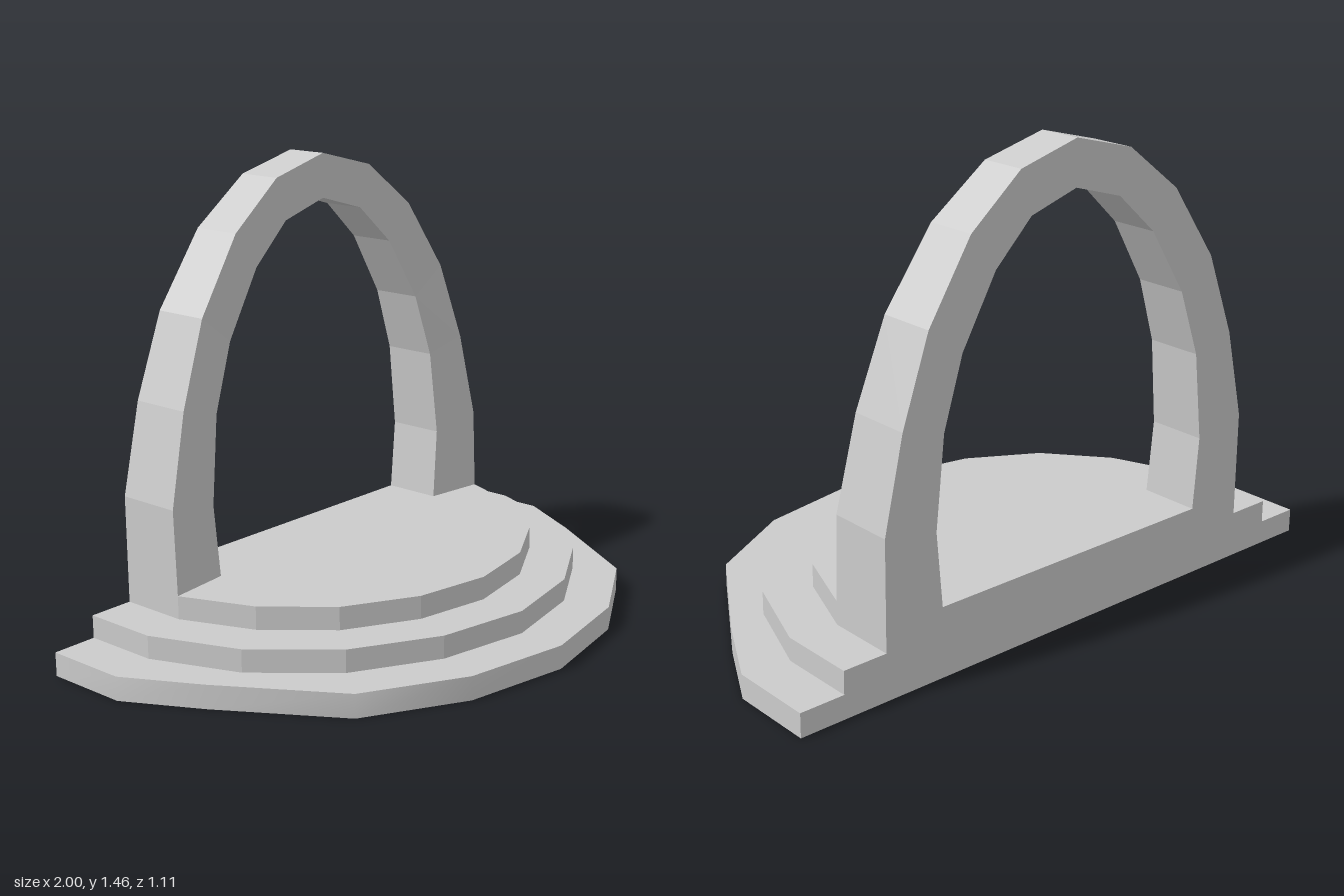
import * as THREE from 'three';
import { toCreasedNormals } from 'three/addons/utils/BufferGeometryUtils.js';

const BACK = -0.555;
const flat = new THREE.MeshStandardMaterial({ color: 0xcccccc, flatShading: true, side: THREE.DoubleSide });
const smooth = new THREE.MeshStandardMaterial({ color: 0xcccccc, side: THREE.DoubleSide });

// Half outlines of the steps as [x, z], from the front centre to the back corner
const steps = [
  { name: 'lowerStep', bottom: 0, top: 0.075, half: [[0, 0.555], [0.345, 0.49], [0.65, 0.315], [0.875, -0.05], [1, -0.285], [1, BACK]] },
  { name: 'middleStep', bottom: 0.075, top: 0.147, half: [[0, 0.408], [0.3, 0.35], [0.56, 0.2], [0.75, -0.03], [0.855, -0.31], [0.855, BACK]] },
  { name: 'upperStep', bottom: 0.147, top: 0.22, half: [[0, 0.26], [0.245, 0.215], [0.465, 0.09], [0.62, -0.1], [0.71, -0.335], [0.71, BACK]] },
];

// Half arch from crown to foot, as [x, y, front z, back z]
const outerHalf = [
  [0, 1.46, -0.386, -0.525], [0.21, 1.405, -0.382, -0.528], [0.395, 1.26, -0.374, -0.537],
  [0.55, 1.03, -0.364, -0.547], [0.645, 0.77, -0.353, -0.553], [0.71, 0.485, -0.343, BACK], [0.71, 0.22, -0.335, BACK],
];
const innerHalf = [
  [0, 1.32, -0.388, -0.526], [0.17, 1.27, -0.386, -0.529], [0.305, 1.145, -0.381, -0.536],
  [0.43, 0.94, -0.374, -0.544], [0.5, 0.73, -0.368, -0.55], [0.53, 0.45, -0.362, -0.553], [0.51, 0.22, -0.36, BACK],
];

// Full left-right run of points, from -x to +x
const mirrored = (half) => [...half.slice(1).reverse().map(([x, ...rest]) => [-x, ...rest]), ...half];

// Surface between pairs of equally long lines of points
function strips(pairs) {
  const pos = [];
  for (const [a, b] of pairs) {
    for (let i = 0; i < a.length - 1; i++) {
      pos.push(...a[i], ...a[i + 1], ...b[i + 1], ...a[i], ...b[i + 1], ...b[i]);
    }
  }
  const geo = new THREE.BufferGeometry();
  geo.setAttribute('position', new THREE.Float32BufferAttribute(pos, 3));
  geo.computeVertexNormals();
  return geo;
}

function add(parent, name, geometry, material = flat) {
  const mesh = new THREE.Mesh(geometry, material);
  mesh.name = name;
  parent.add(mesh);
  return mesh;
}

export function createModel() {
  const model = new THREE.Group();
  model.name = 'archOnSteps';

  // Hollow steps: a riser around each, and a tread that stops at the next step
  const outlines = steps.map((s) => mirrored(s.half));
  steps.forEach(({ name, bottom, top }, i) => {
    const step = new THREE.Group();
    step.name = name;
    const at = (y) => outlines[i].map(([x, z]) => [x, y, z]);
    const riser = strips([[at(bottom), at(top)]]);
    if (i === 0) add(step, 'riser', toCreasedNormals(riser, 0.7), smooth);
    else add(step, 'riser', riser);

    const edge = [...outlines[i]];
    if (outlines[i + 1]) edge.push(...[...outlines[i + 1]].reverse());
    const shape = new THREE.Shape(edge.map(([x, z]) => new THREE.Vector2(x, -z)));
    add(step, 'tread', new THREE.ShapeGeometry(shape).rotateX(-Math.PI / 2).translate(0, top, 0));
    model.add(step);
  });

  // Flat stepped wall closing the back
  const profile = steps.flatMap(({ bottom, top, half }) => {
    const w = half[half.length - 1][0];
    return [[w, bottom], [w, top]];
  });
  const wall = [...profile, ...[...profile].reverse().map(([x, y]) => [-x, y])];
  const wallShape = new THREE.Shape(wall.map(([x, y]) => new THREE.Vector2(x, y)));
  add(model, 'backWall', new THREE.ShapeGeometry(wallShape).rotateY(Math.PI).translate(0, 0, BACK));

  // Tapering arch: front, outer, back and inner faces
  const outer = mirrored(outerHalf);
  const inner = mirrored(innerHalf);
  const front = (run) => run.map(([x, y, f]) => [x, y, f]);
  const back = (run) => run.map(([x, y, , b]) => [x, y, b]);
  const corners = [front(outer), back(outer), back(inner), front(inner)];
  add(model, 'arch', strips(corners.map((c, i) => [c, corners[(i + 1) % 4]])));

  return model;
}
